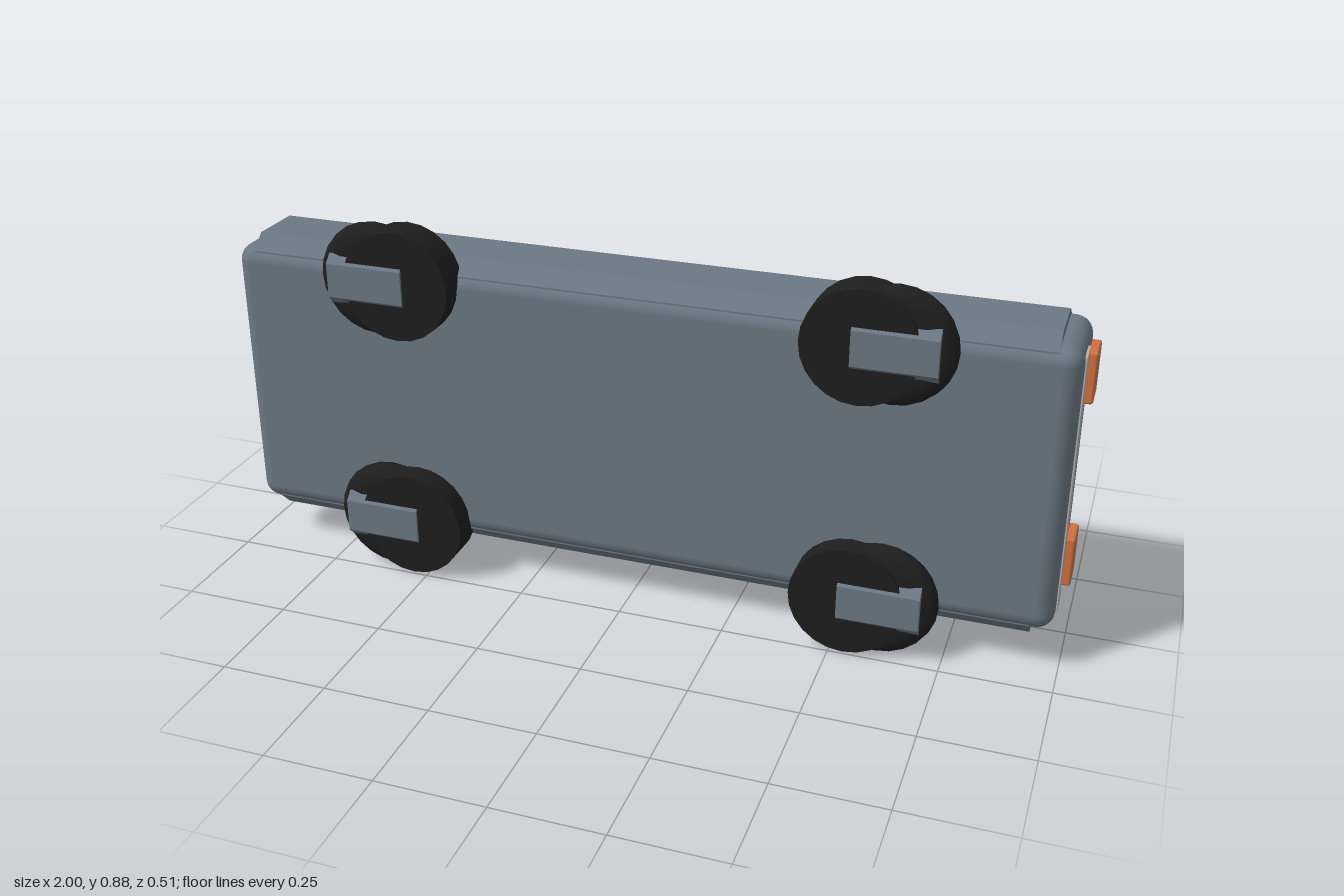
import * as THREE from 'three';
import { RoundedBoxGeometry } from 'three/addons/geometries/RoundedBoxGeometry.js';

const mat = (name, color) => {
  const m = new THREE.MeshStandardMaterial({ color });
  m.name = name;
  return m;
};

export function createModel() {
  const paint = mat('greyBlue', 0x6b7884);
  const cabinPaint = mat('darkBlue', 0x2c4354);
  const orange = mat('orange', 0xd2703e);
  const silver = mat('silver', 0xb2b2b2);
  const rubber = mat('black', 0x1e1e1e);

  const model = new THREE.Group();
  model.name = 'car';
  // The car is built upright, then laid on its side
  const car = new THREE.Group();
  car.name = 'carBody';
  car.rotation.x = -Math.PI / 2;
  car.position.y = 0.44;
  model.add(car);

  const add = (name, geometry, material, x = 0, y = 0, z = 0, parent = car) => {
    const mesh = new THREE.Mesh(geometry, material);
    mesh.name = name;
    mesh.position.set(x, y, z);
    parent.add(mesh);
    return mesh;
  };

  // Rounded box given by its limits along the length and height, and its width
  const block = (name, material, x0, x1, y0, y1, width, r) =>
    add(name, new RoundedBoxGeometry(x1 - x0, y1 - y0, width, 3, r), material,
      (x0 + x1) / 2, (y0 + y1) / 2, 0);

  // Narrow a block towards its top
  const taper = (mesh, topWidth, rearShift, noseShift) => {
    const g = mesh.geometry, p = g.attributes.position;
    g.computeBoundingBox();
    const { min, max } = g.boundingBox;
    for (let i = 0; i < p.count; i++) {
      const t = (p.getY(i) - min.y) / (max.y - min.y);
      const x = p.getX(i);
      p.setX(i, x + t * (x > 0 ? noseShift : rearShift));
      p.setZ(i, p.getZ(i) * (1 + t * (topWidth - 1)));
    }
    g.computeVertexNormals();
  };

  // Extrude a (height, width) section along the length, centred
  const bar = (section, length) => {
    const shape = new THREE.Shape(section.map(([y, z]) => new THREE.Vector2(-z, y)));
    const g = new THREE.ExtrudeGeometry(shape, { depth: length, bevelEnabled: false });
    g.translate(0, 0, -length / 2);
    g.rotateY(Math.PI / 2);
    return g;
  };

  // Hull and raised deck panels
  block('hull', paint, -0.98, 0.98, -0.195, 0.047, 0.67, 0.04);
  block('longDeckPanel', paint, -0.86, 0.85, 0, 0.06, 0.63, 0.012);
  block('frontDeckPanel', paint, -0.94, -0.2, 0, 0.068, 0.61, 0.012);

  // Chamfered panels that bulge out along both flanks
  add('flankPanels', bar([
    [-0.185, 0.325], [-0.15, 0.36], [-0.02, 0.36], [0.0, 0.35], [0.045, 0.32],
    [0.045, -0.32], [0.0, -0.35], [-0.02, -0.36], [-0.15, -0.36], [-0.185, -0.325],
  ], 1.86), paint);

  // Cabin: tall part over a lower stepped part
  taper(block('cabinBase', cabinPaint, -0.48, 0.405, 0.03, 0.17, 0.585, 0.025), 0.95, 0.006, -0.01);
  taper(block('cabinTop', cabinPaint, -0.335, 0.42, 0.03, 0.255, 0.61, 0.025), 0.77, 0.008, -0.025);

  // Bumper strips and lamps at both ends
  for (const end of [-1, 1]) {
    add('bumperStrip', new THREE.BoxGeometry(0.008, 0.066, 0.615), silver, end * 0.979, -0.116, 0);
    for (const side of [-1, 1]) {
      add('lamp', new RoundedBoxGeometry(0.03, 0.08, 0.12, 2, 0.006), orange,
        end * 0.985, -0.02, side * 0.223);
    }
  }

  // Flat wheels: rounded tyre, offset disc and chamfered hub bar
  const tyreProfile = [
    [0, -0.034], [0.09, -0.034], [0.118, -0.028], [0.131, -0.014], [0.135, 0],
    [0.131, 0.014], [0.118, 0.028], [0.09, 0.034], [0, 0.034],
  ].map(([r, y]) => new THREE.Vector2(r, y));
  const tyre = new THREE.LatheGeometry(tyreProfile, 24);
  const disc = new THREE.CylinderGeometry(0.13, 0.13, 0.083, 24);
  const hub = bar([
    [-0.05, 0.04], [-0.03, 0.06], [0.03, 0.06], [0.05, 0.04],
    [0.05, -0.04], [0.03, -0.06], [-0.03, -0.06], [-0.05, -0.04],
  ], 0.185);
  for (const end of [-1, 1]) {
    for (const side of [-1, 1]) {
      const wheel = new THREE.Group();
      wheel.name = 'wheel';
      wheel.position.set(end * 0.6, -0.206, side * 0.305);
      car.add(wheel);
      add('tyre', tyre, rubber, 0, 0, 0, wheel);
      add('wheelDisc', disc, rubber, -end * 0.067, -0.0025, 0, wheel);
      add('hub', hub, paint, end * 0.007, 0, 0, wheel);
    }
  }
  return model;
}
